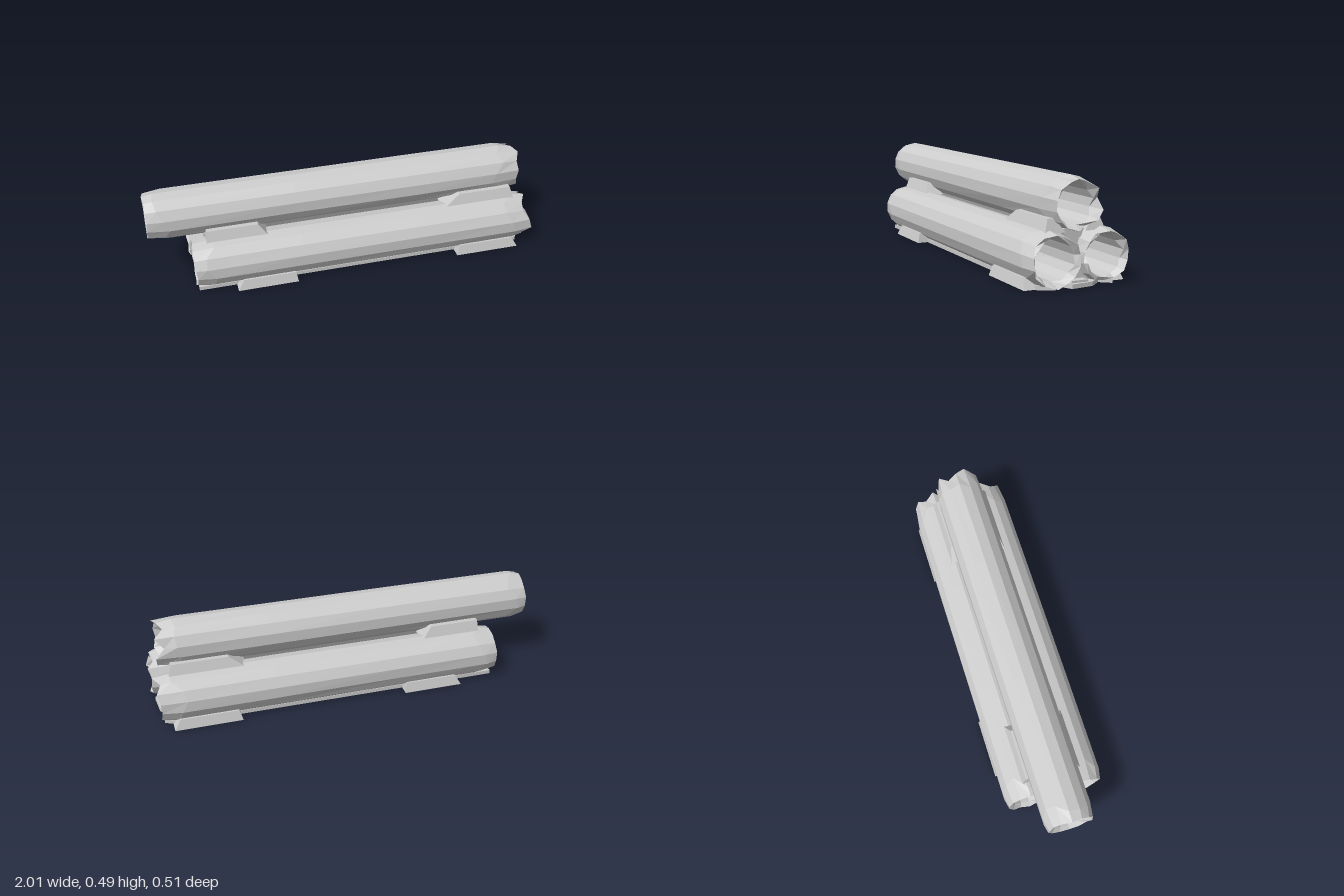
import * as THREE from 'three';

const concrete = new THREE.MeshStandardMaterial({ color: 0xcccccc, flatShading: true });
concrete.name = 'pale grey';
concrete.side = THREE.DoubleSide;

const SIDES = 14;

// repeatable small variation in -1..1
function wobble(a, b) {
  const s = Math.sin(a * 12.9898 + b * 78.233) * 43758.5453;
  return (s - Math.floor(s)) * 2 - 1;
}

// hollow pipe along x with worn rims; the +x rim is more broken
function pipe(name, x0, x1, y, z, r, inner, seed) {
  const profile = [
    [inner, x0 + 0.02], [r - 0.012, x0], [r, x0 + 0.08], [r, -0.25], [r, 0.4], [r, x1 - 0.1],
    [r - 0.012, x1], [inner, x1 - 0.03], [inner, 0], [inner, x0 + 0.02],
  ].map(([a, b]) => new THREE.Vector2(a, b));
  const g = new THREE.LatheGeometry(profile, SIDES, Math.PI / SIDES);
  const p = g.attributes.position;
  const rows = profile.length;
  for (let i = 0; i < p.count; i++) {
    const row = (i % rows) % (rows - 1);
    const side = Math.floor(i / rows) % SIDES;
    const n = wobble(side + seed, row + 1);
    const k = 1 + n * (row === 0 || row > 5 ? 0.03 : 0.012);
    let along = 0;
    if (row === 6 || row === 7) along = n * 0.028;
    else if (row === 5 || row === 2) along = n * 0.04;
    else if (row < 2) along = n * 0.006;
    p.setXYZ(i, p.getX(i) * k, p.getY(i) + along, p.getZ(i) * k);
  }
  g.rotateZ(-Math.PI / 2);
  g.computeVertexNormals();
  const m = new THREE.Mesh(g, concrete);
  m.name = name;
  m.position.set(0, y, z);
  return m;
}

// prism along x from a [z, y] outline; slope pulls in its ends with height
function prism(name, outline, x0, x1, slope0 = 0, slope1 = 0) {
  const shape = new THREE.Shape(outline.map(([z, y]) => new THREE.Vector2(-z, y)));
  const g = new THREE.ExtrudeGeometry(shape, { depth: x1 - x0, bevelEnabled: false });
  g.rotateY(Math.PI / 2).translate(x0, 0, 0);
  const p = g.attributes.position;
  const low = Math.min(...outline.map((q) => q[1]));
  const mid = (x0 + x1) / 2;
  for (let i = 0; i < p.count; i++) {
    const h = p.getY(i) - low;
    p.setX(i, p.getX(i) + (p.getX(i) < mid ? slope0 : -slope1) * h);
  }
  g.computeVertexNormals();
  const m = new THREE.Mesh(g, concrete);
  m.name = name;
  return m;
}

export function createModel() {
  const group = new THREE.Group();
  group.name = 'pipeStack';

  // stacked pipes
  group.add(
    pipe('topPipe', -1, 0.94, 0.36, 0, 0.125, 0.092, 3),
    pipe('frontPipe', -0.79, 0.975, 0.126, 0.13, 0.127, 0.096, 11),
    pipe('backPipe', -0.79, 0.975, 0.126, -0.13, 0.127, 0.096, 27),
  );

  // flat underside with a ragged +x edge
  const base = new THREE.Shape();
  [[-0.78, -0.2], [0.9, -0.2], [0.96, -0.17], [0.92, -0.12], [0.97, -0.06], [0.98, 0.05],
    [0.92, 0.08], [0.97, 0.13], [0.93, 0.2], [-0.78, 0.2]]
    .forEach(([x, z], i) => (i ? base.lineTo(x, -z) : base.moveTo(x, -z)));
  const slab = new THREE.ExtrudeGeometry(base, { depth: 0.02, bevelEnabled: false });
  slab.rotateX(-Math.PI / 2);
  const slabMesh = new THREE.Mesh(slab, concrete);
  slabMesh.name = 'basePlate';
  group.add(slabMesh);

  // filling between the pipes
  group.add(
    prism('lowerFill', [[-0.07, 0.015], [0.07, 0.015], [0.01, 0.14], [-0.01, 0.14]], -0.74, 0.92),
    prism('upperFill', [[-0.01, 0.14], [0.01, 0.14], [0.055, 0.25], [0, 0.252], [-0.055, 0.25]], -0.72, 0.9),
    prism('middleChock', [[-0.055, 0], [0.055, 0], [0.04, 0.03], [-0.04, 0.03]], 0.6, 0.96),
  );

  // wedges beside the pipes, mirrored front to back
  for (const [side, s] of [['front', 1], ['back', -1]]) {
    const flip = (pts) => pts.map(([z, y]) => [z * s, y]);
    const upper = flip([[0.05, 0.24], [0.155, 0.235], [0.132, 0.303], [0.1, 0.303]]);
    const lower = flip([[0.18, 0], [0.256, 0], [0.242, 0.052], [0.222, 0.052]]);
    group.add(
      prism(side + 'UpperChockLeft', upper, 0.52, 0.92, 1.4, 0.3),
      prism(side + 'UpperChockRight', upper, -0.72, -0.4, 0.1, 0.8),
      prism(side + 'LowerChockLeft', lower, 0.58, 0.92, 0.3, 0.6),
      prism(side + 'LowerChockRight', lower, -0.59, -0.28, 0.6, 0.2),
    );
  }
  return group;
}
